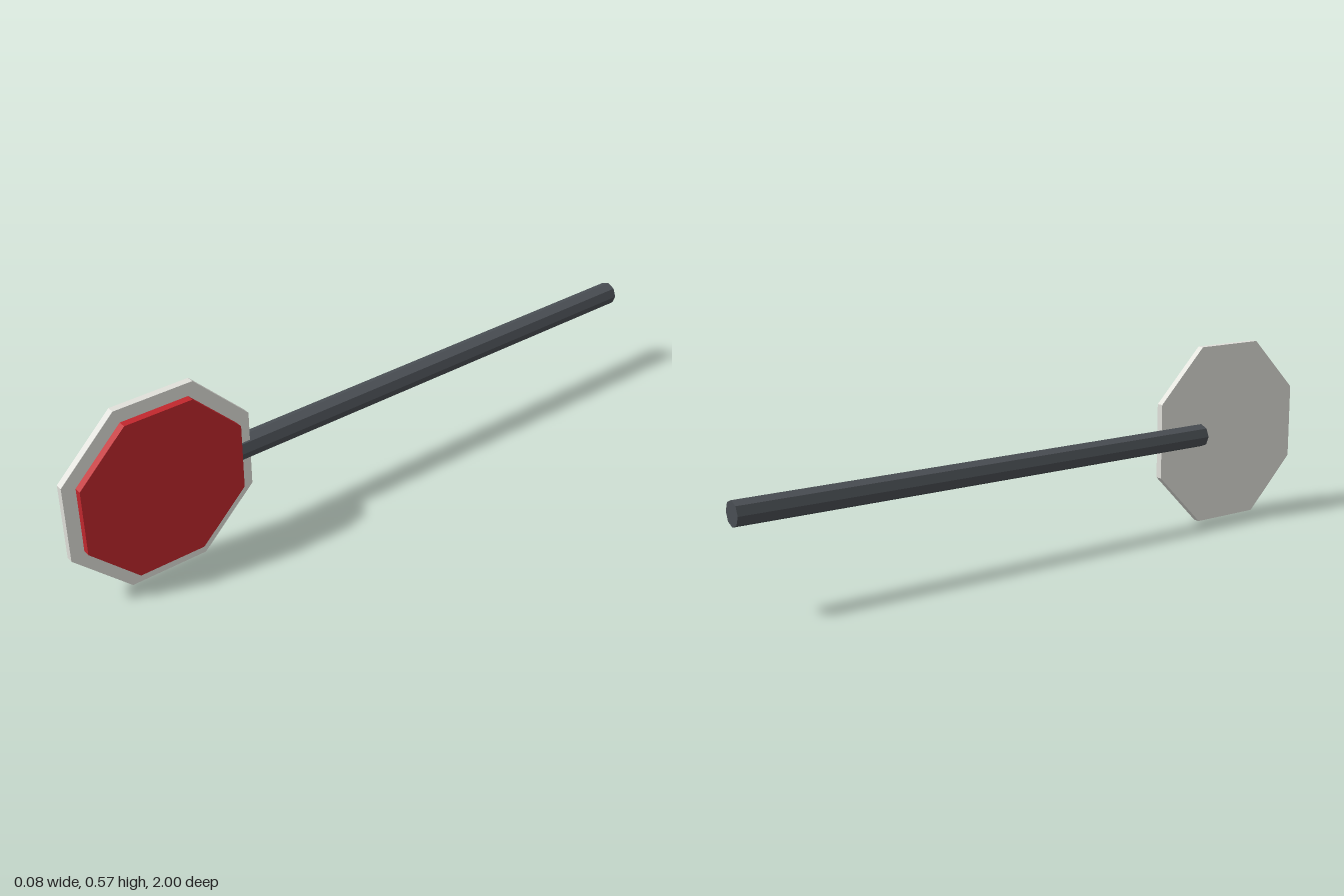
import * as THREE from 'three';

const CENTRE_Y = 0.284;
const SIGN_Z = 0.717;

function material(color) {
  return new THREE.MeshStandardMaterial({ color, flatShading: true });
}

// Octagonal plate facing +x, flat edges up, between x0 and x1
function octagonPlate(name, apothem, x0, x1, color) {
  const radius = apothem / Math.cos(Math.PI / 8);
  const geometry = new THREE.CylinderGeometry(radius, radius, x1 - x0, 8, 1, false, Math.PI / 8);
  geometry.rotateZ(-Math.PI / 2);
  const mesh = new THREE.Mesh(geometry, material(color));
  mesh.name = name;
  mesh.position.set((x0 + x1) / 2, CENTRE_Y, SIGN_Z);
  return mesh;
}

export function createModel() {
  const group = new THREE.Group();
  group.name = 'signPaddle';

  // Pale backing plate and raised red face
  group.add(octagonPlate('backingPlate', 0.283, -0.004, 0.017, 0xe0e0da));
  group.add(octagonPlate('redFace', 0.2435, 0.017, 0.039, 0xc1272d));

  // Eight-sided pole running back along z, set through the plate
  const front = 0.6, back = -1;
  const poleGeometry = new THREE.CylinderGeometry(0.036, 0.036, front - back, 8);
  poleGeometry.rotateX(Math.PI / 2);
  const pole = new THREE.Mesh(poleGeometry, material(0x4a4f54));
  pole.name = 'pole';
  pole.position.set(-0.004, CENTRE_Y + 0.001, (front + back) / 2);
  group.add(pole);

  return group;
}
